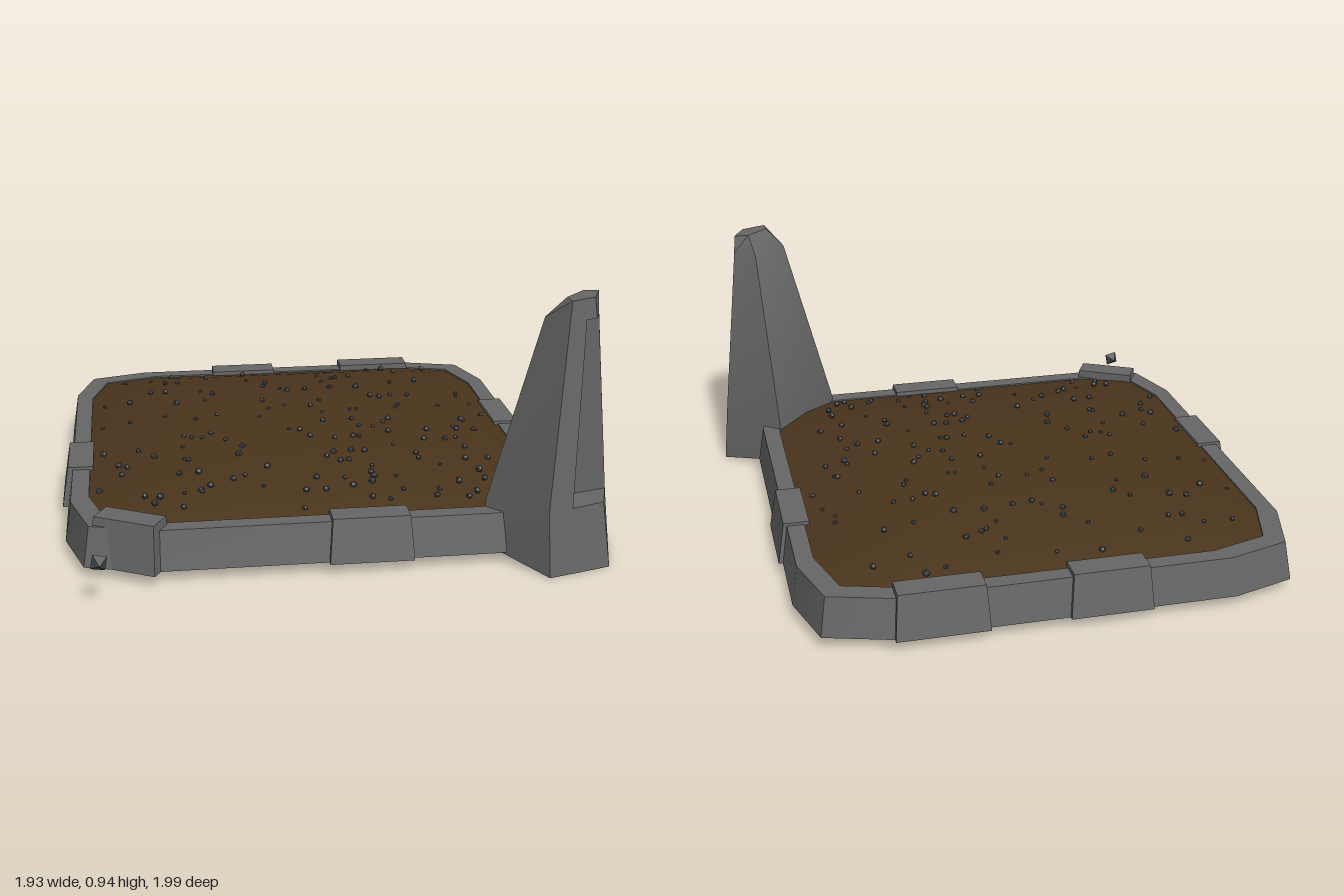
import * as THREE from 'three';
import { mergeGeometries, toCreasedNormals } from 'three/addons/utils/BufferGeometryUtils.js';

const CX = -0.065, CZ = -0.09;
const stone = new THREE.MeshStandardMaterial({ color: 0x666666, side: THREE.DoubleSide });
const soilMat = new THREE.MeshStandardMaterial({ color: 0x4a341c, side: THREE.DoubleSide });
const pebbleMat = new THREE.MeshStandardMaterial({ color: 0x44484c, flatShading: true });

// Skin a list of equal-length rings of [x, y, z], anticlockwise from above
function loft(rings, capBottom, capTop, crease = 0.6) {
  const pos = [], n = rings[0].length;
  const tri = (...p) => p.forEach((q) => pos.push(...q));
  for (let i = 0; i + 1 < rings.length; i++) {
    for (let j = 0; j < n; j++) {
      const k = (j + 1) % n, lo = rings[i], hi = rings[i + 1];
      tri(lo[j], lo[k], hi[k]);
      tri(lo[j], hi[k], hi[j]);
    }
  }
  const cap = (ring, up) => {
    const c = [0, 1, 2].map((a) => ring.reduce((s, p) => s + p[a], 0) / n);
    ring.forEach((p, j) => {
      const q = ring[(j + 1) % n];
      if (up) tri(c, p, q); else tri(c, q, p);
    });
  };
  if (capBottom) cap(rings[0], false);
  if (capTop) cap(rings[rings.length - 1], true);
  const g = new THREE.BufferGeometry();
  g.setAttribute('position', new THREE.Float32BufferAttribute(pos, 3));
  return toCreasedNormals(g, crease);
}

function add(parent, name, geometry, material) {
  const m = new THREE.Mesh(geometry, material);
  m.name = name;
  parent.add(m);
  return m;
}

// Square loop with softened corners, h = half width
function bedLoop(h, y) {
  const corner = [[1, 0.67], [0.925, 0.925], [0.67, 1]];
  const loop = [];
  for (let q = 0; q < 4; q++) {
    const c = Math.round(Math.cos(q * Math.PI / 2)), s = Math.round(Math.sin(q * Math.PI / 2));
    for (const [a, b] of corner) {
      // rotate each corner a quarter turn further, from +x towards -z
      const x = a * c - b * s, up = a * s + b * c;
      loop.push([CX + x * h, y, CZ - up * h]);
    }
  }
  return loop;
}

// Tapered stone that straddles the rim
function rimBlock(len, depth, y0, y1) {
  const rect = (l, zIn, zOut, y) => [[-l, y, zOut], [l, y, zOut], [l, y, zIn], [-l, y, zIn]];
  return loft([
    rect(len / 2, -depth / 2, depth / 2, y0),
    rect(len / 2 - 0.012, -depth / 2 + 0.003, depth / 2 - 0.025, y1),
  ], true, true, 0.4);
}

const soilProfile = [[0.815, 0.172], [0.7, 0.2], [0.55, 0.22], [0.3, 0.232]];
function soilHeight(x, z) {
  const r = Math.max(Math.abs(x - CX), Math.abs(z - CZ));
  for (let i = 0; i < 3; i++) {
    const [r0, y0] = soilProfile[i], [r1, y1] = soilProfile[i + 1];
    if (r >= r1) return y0 + (y1 - y0) * (r0 - r) / (r0 - r1);
  }
  return 0.232;
}

// Corner pillar: half sections of [across, along the diagonal, y], mirrored
function pillarGeometry() {
  const halves = [
    [[0.18, 0.87, 0.04], [0.205, 1.13, 0], [0.11, 1.185, 0], [0, 1.245, 0]],
    [[0.175, 0.85, 0.2], [0.195, 1.11, 0.23], [0.115, 1.155, 0.23], [0, 1.21, 0.23]],
    [[0.175, 0.85, 0.2], [0.195, 1.11, 0.23], [0.115, 1.155, 0.23], [0, 1.09, 0.23]],
    [[0.088, 1.0, 0.865], [0.1, 1.1, 0.865], [0.042, 1.13, 0.865], [0, 1.07, 0.865]],
    [[0.088, 1.0, 0.865], [0.1, 1.1, 0.865], [0.042, 1.13, 0.865], [0, 1.145, 0.865]],
    [[0.055, 1.06, 0.935], [0.092, 1.1, 0.935], [0.04, 1.12, 0.935], [0, 1.135, 0.935]],
  ];
  const place = (u, v, y) => [(v + u + 0.015) / Math.SQRT2, y, (v - u - 0.015) / Math.SQRT2];
  const rings = halves.map((h) => [
    ...h.map(([u, v, y]) => place(-u, v, y)),
    ...h.slice(0, 3).reverse().map(([u, v, y]) => place(u, v, y)),
  ]);
  return loft(rings, true, true, 0.5);
}

export function createModel() {
  const model = new THREE.Group();
  model.name = 'stoneEdgedSoilBed';

  // Stone rim
  add(model, 'rim', loft([
    bedLoop(0.89, 0.04), bedLoop(0.868, 0.18), bedLoop(0.805, 0.18),
    bedLoop(0.795, 0.04), bedLoop(0.89, 0.04),
  ], false, false, 0.7), stone);

  // Stones set over the rim: x, z, length, turn, top
  const blocks = new THREE.Group();
  blocks.name = 'rimStones';
  const H = Math.PI / 2;
  [
    [0.08, 0.76, 0.29, 0, 0.195],
    [-0.215, -0.935, 0.29, 2 * H, 0.195],
    [0.365, -0.94, 0.32, 2 * H, 0.2],
    [0.78, -0.24, 0.3, H, 0.19],
    [-0.915, 0.055, 0.29, -H, 0.19],
    [-0.735, 0.725, 0.25, -0.5, 0.21],
  ].forEach(([x, z, len, turn, top]) => {
    const b = add(blocks, 'rimStone', rimBlock(len, 0.12, 0.04, top), stone);
    b.position.set(x, 0, z);
    b.rotation.y = turn;
  });
  model.add(blocks);

  // Mounded earth
  add(model, 'soil', loft(soilProfile.map(([h, y]) => bedLoop(h, y)), false, true, 1), soilMat);

  // Scattered pebbles
  let seed = 7;
  const rnd = () => (seed = (seed * 16807) % 2147483647) / 2147483647;
  const pebbles = [];
  while (pebbles.length < 150) {
    const dx = (rnd() * 2 - 1) * 0.77, dz = (rnd() * 2 - 1) * 0.77;
    const r = 0.007 + rnd() * 0.007, x = CX + dx, z = CZ + dz;
    if (Math.abs(dx) + Math.abs(dz) > 1.35) continue;
    const g = new THREE.IcosahedronGeometry(r, 0);
    g.rotateY(rnd() * 6);
    g.translate(x, soilHeight(x, z) + r * 0.4, z);
    pebbles.push(g);
  }
  add(model, 'pebbles', mergeGeometries(pebbles), pebbleMat);

  // Tall corner pillar with a recessed front
  add(model, 'cornerPillar', pillarGeometry(), stone);

  // Loose stone chip beside the bed
  const chip = add(model, 'looseChip', new THREE.OctahedronGeometry(0.034, 0), pebbleMat);
  chip.position.set(-0.832, 0.16, 0.96);
  chip.rotation.set(0, 0.1, 0.6);
  return model;
}
